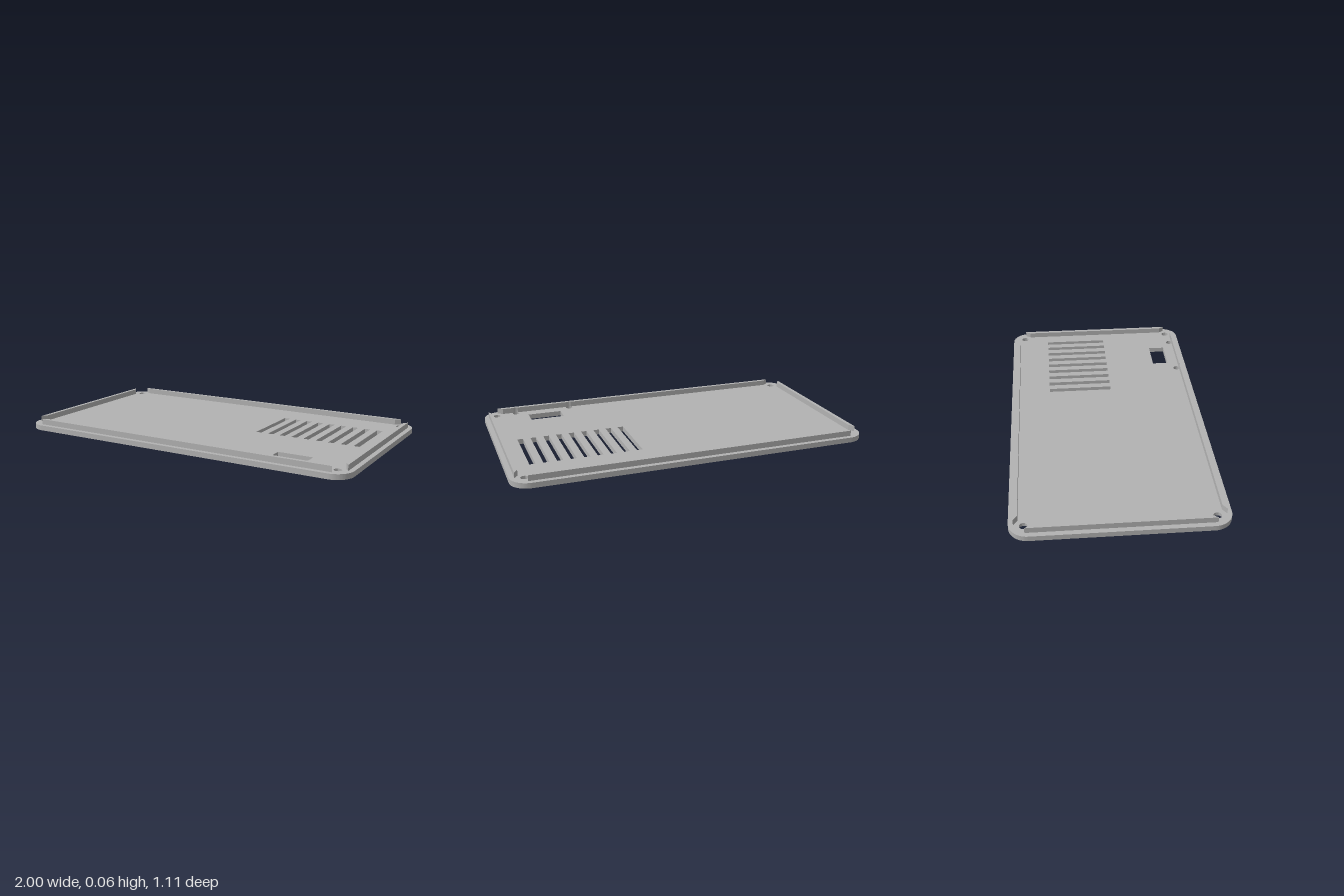
import * as THREE from 'three';
import { toCreasedNormals } from 'three/addons/utils/BufferGeometryUtils.js';

const HALF_X = 1, HALF_Z = 0.556, CORNER = 0.1;
const PLATE_TOP = 0.029, RIB_TOP = 0.06;
const BORE = 0.021, COUNTERBORE = 0.031;
const PIN_HOLES = [[0.807, 0.494], [0.475, 0.494]], PIN_R = 0.02;

// Extrude a plan shape (x, z) between two heights
function slab(shape, bottom, top) {
  const g = new THREE.ExtrudeGeometry(shape, { depth: top - bottom, bevelEnabled: false, curveSegments: 12 });
  g.rotateX(Math.PI / 2);
  g.translate(0, top, 0);
  return toCreasedNormals(g, 0.6);
}

function rectHole(x0, x1, z0, z1) {
  return new THREE.Path([[x0, z0], [x0, z1], [x1, z1], [x1, z0]].map(p => new THREE.Vector2(...p)));
}

function roundHole(x, z, r) {
  return new THREE.Path().absarc(x, z, r, 0, Math.PI * 2, true);
}

// Plan of a lip with mitred ends; notches are cut where pin holes touch it
function ribShape(outerHalf, innerHalf, outer, inner, notches = []) {
  const s = new THREE.Shape();
  s.moveTo(-outerHalf, outer);
  s.lineTo(outerHalf, outer);
  s.lineTo(innerHalf, inner);
  for (const [x, z] of notches) {
    const a = Math.asin((inner - z) / PIN_R);
    s.absarc(x, z, PIN_R, a, Math.PI - a, false);
  }
  s.lineTo(-innerHalf, inner);
  s.closePath();
  return s;
}

export function createModel() {
  const group = new THREE.Group();
  const grey = new THREE.MeshStandardMaterial({ color: 0xb2b2b2 });
  grey.name = 'grey plastic';
  const add = (name, geometry) => {
    const mesh = new THREE.Mesh(geometry, grey);
    mesh.name = name;
    group.add(mesh);
    return mesh;
  };

  // Rounded base plate
  const plate = new THREE.Shape();
  const cx = HALF_X - CORNER, cz = HALF_Z - CORNER;
  [[cx, cz], [-cx, cz], [-cx, -cz], [cx, -cz]].forEach(([x, z], i) =>
    plate.absarc(x, z, CORNER, i * Math.PI / 2, (i + 1) * Math.PI / 2, false));
  plate.closePath();

  // Vent slots, window and pin holes
  for (let i = 0; i < 9; i++) {
    const x = 0.257 + i * 0.0729;
    plate.holes.push(rectHole(x, x + 0.032, -0.326, 0.049));
  }
  plate.holes.push(rectHole(0.542, 0.739, 0.349, 0.444));
  for (const [x, z] of PIN_HOLES) plate.holes.push(roundHole(x, z, PIN_R));

  // Counterbored screw holes: wide hole in the plate, narrow collar at its top
  const collar = toCreasedNormals(new THREE.LatheGeometry([
    [COUNTERBORE, PLATE_TOP], [BORE, PLATE_TOP], [BORE, 0.015], [COUNTERBORE, 0.015],
  ].map(p => new THREE.Vector2(...p)), 48).toNonIndexed(), 0.6);
  for (const x of [-0.924, 0.924]) {
    for (const z of [-0.48, 0.48]) {
      plate.holes.push(roundHole(x, z, COUNTERBORE));
      add('screwHoleCollar', collar).position.set(x, 0, z);
    }
  }
  add('basePlate', slab(plate, 0, PLATE_TOP));

  // Locating lips along the four edges
  const longLip = notches => slab(ribShape(0.914, 0.884, 0.53, 0.509, notches), PLATE_TOP, RIB_TOP);
  const shortLip = slab(ribShape(0.474, 0.444, 0.973, 0.952), PLATE_TOP, RIB_TOP);
  add('frontLip', longLip(PIN_HOLES));
  add('backLip', longLip()).rotation.y = Math.PI;
  add('leftLip', shortLip).rotation.y = Math.PI / 2;
  add('rightLip', shortLip).rotation.y = -Math.PI / 2;

  return group;
}
